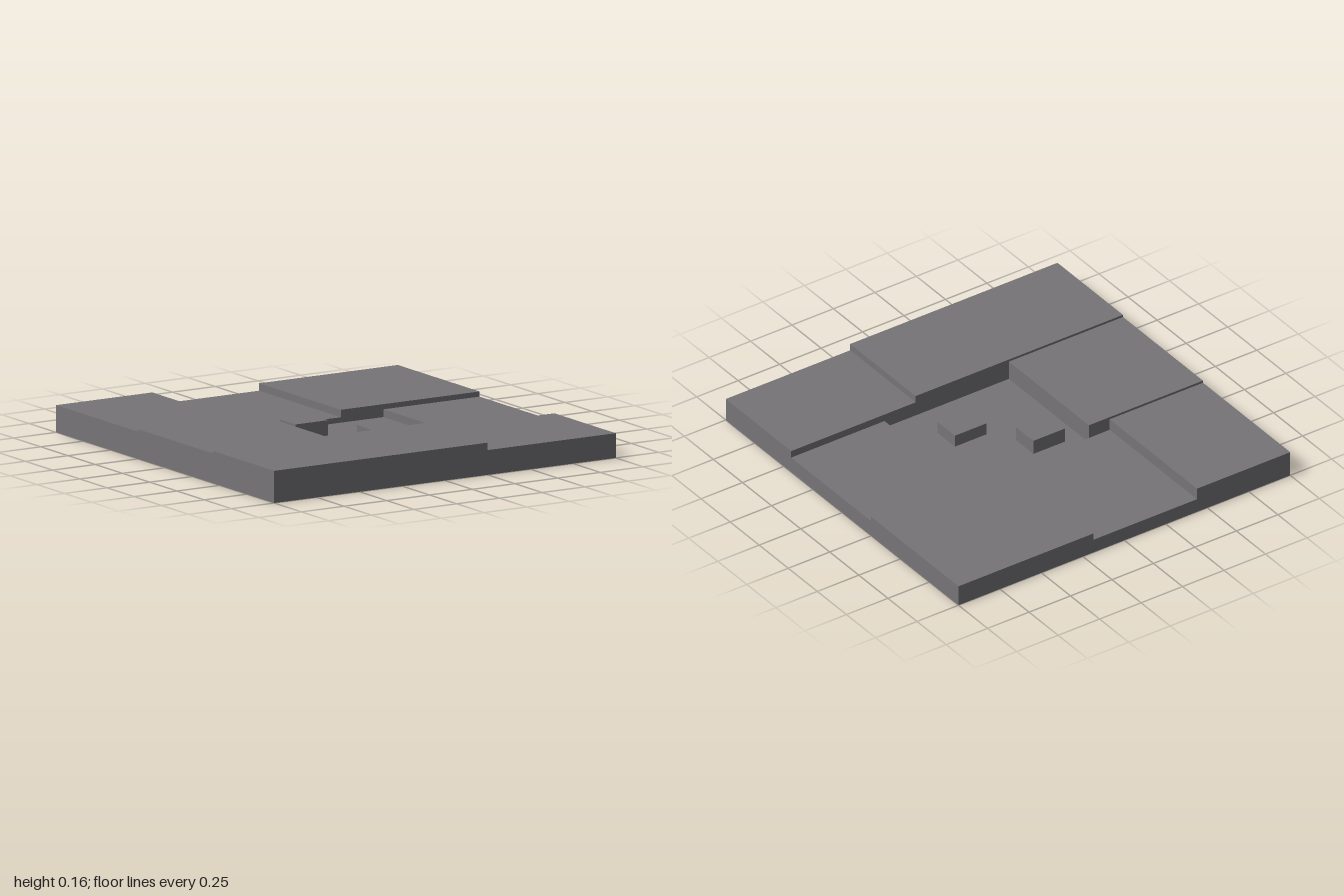
import * as THREE from 'three';

export function createModel() {
  const group = new THREE.Group();
  group.name = 'pavedTile';
  const stone = new THREE.MeshStandardMaterial({ color: 0x767477 });
  stone.name = 'grey stone';

  const floor = 0.0475; // top of the base, seen as the sunken centre

  // Block spanning x0..x1 and z0..z1, from y0 up to y1
  function block(name, x0, x1, z0, z1, y1, y0 = floor) {
    const mesh = new THREE.Mesh(new THREE.BoxGeometry(x1 - x0, y1 - y0, z1 - z0), stone);
    mesh.position.set((x0 + x1) / 2, (y0 + y1) / 2, (z0 + z1) / 2);
    mesh.name = name;
    group.add(mesh);
  }

  block('base', -1, 1, -1, 1, floor, 0);

  // Row boundaries along z
  const back = -0.25, front = 0.4375;

  // Back row of slabs
  block('backLeftSlab', -1, -0.4375, -1, back, 0.1375);
  block('backMiddleSlab', -0.4375, 0.1875, -1, back, 0.075);
  block('backRightSlab', 0.1875, 1, -1, back, 0.1125);

  // Middle row, either side of the sunken floor
  block('middleLeftSlab', -1, -0.3125, back, front, 0.15);
  block('middleRightSlab', 0.4375, 1, back, front, 0.0865);

  // Front row of slabs
  block('frontLeftSlab', -1, 0.25, front, 1, 0.1625);
  block('frontRightSlab', 0.25, 1, front, 1, 0.125);

  // Small loose stones on the floor
  block('backPebble', -0.22, -0.03, -0.175, -0.025, 0.125);
  block('frontPebble', 0.06, 0.25, 0.1, 0.25, 0.1125);

  return group;
}
